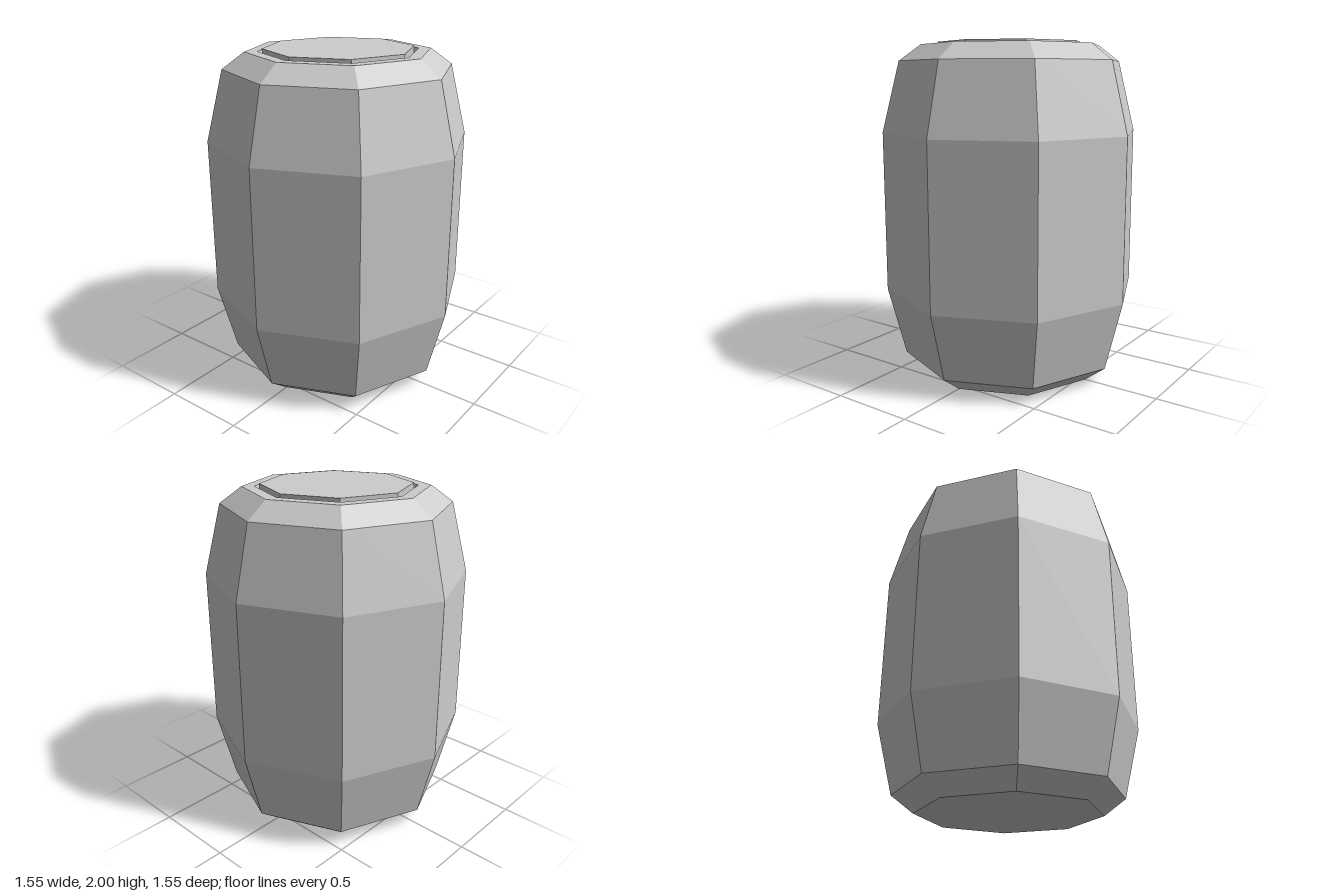
import * as THREE from 'three';

const SIDES = 8;

// Faceted solid of revolution from [radius, height] pairs, listed bottom to top
function turned(name, profile, material) {
  const points = profile.map(([r, y]) => new THREE.Vector2(r, y));
  const mesh = new THREE.Mesh(new THREE.LatheGeometry(points, SIDES), material);
  mesh.name = name;
  return mesh;
}

export function createModel() {
  const group = new THREE.Group();
  group.name = 'barrel';
  const material = new THREE.MeshStandardMaterial({ color: 0xcccccc, flatShading: true });

  // Bulging body with chamfered ends and a shallow recess in the top
  group.add(turned('body', [
    [0, 0], [0.54, 0], [0.67, 0.1],
    [0.775, 0.515], [0.775, 1.475],
    [0.67, 1.89], [0.54, 1.985],
    [0.467, 1.985], [0.455, 1.95], [0, 1.95],
  ], material));

  // Lid set in the recess, standing just above the rim
  group.add(turned('lid', [[0.44, 1.95], [0.44, 2], [0, 2]], material));

  return group;
}
